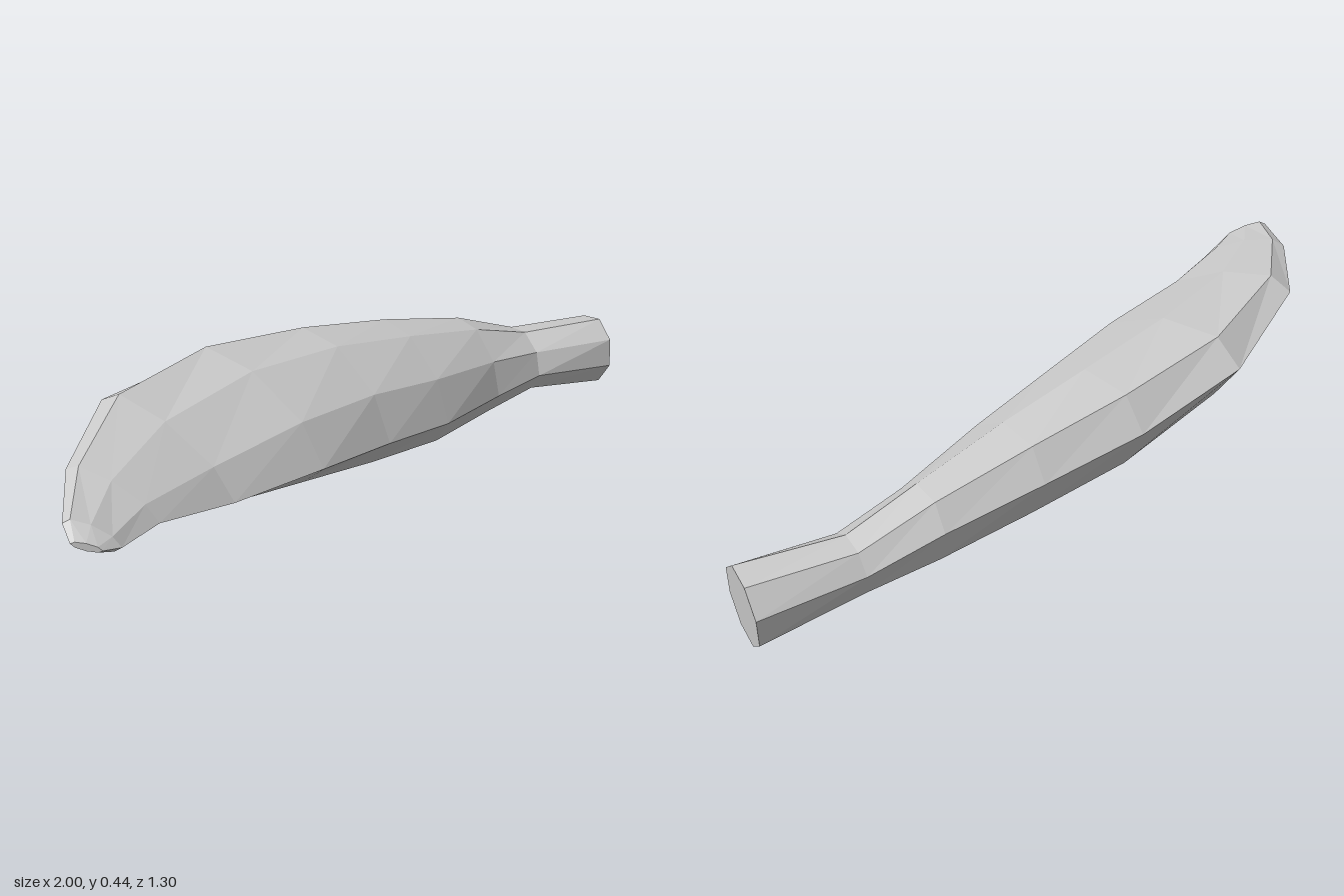
import * as THREE from 'three';

const SIDES = 8;

// Cross-sections from stem to tip: centre, half-axis towards the inner curve, upward half-axis
const SECTIONS = [
  { c: [0.985, 0.11, -0.545], u: [0.012, -0.025, 0.108], v: [0.012, 0.108, 0.022] },
  { c: [0.70, 0.135, -0.495], u: [0.012, -0.025, 0.11], v: [0.01, 0.085, 0] },
  { c: [0.50, 0.165, -0.43], u: [0.02, -0.055, 0.15], v: [0.005, 0.117, 0.005] },
  { c: [0.23, 0.20, -0.305], u: [0.035, -0.065, 0.215], v: [0, 0.14, 0] },
  { c: [-0.045, 0.24, -0.19], u: [0.065, -0.065, 0.25], v: [0, 0.147, 0] },
  { c: [-0.35, 0.29, -0.03], u: [0.11, -0.072, 0.267], v: [0, 0.125, 0] },
  { c: [-0.655, 0.33, 0.205], u: [0.12, -0.08, 0.20], v: [0, 0.08, 0] },
  { c: [-0.85, 0.345, 0.445], u: [0.09, -0.045, 0.095], v: [0, 0.04, 0] },
  { c: [-0.935, 0.335, 0.61], u: [0.062, -0.03, 0.027], v: [0, 0.025, -0.005] },
  { c: [-0.955, 0.322, 0.638], u: [0.035, -0.01, 0.012], v: [0, 0.01, 0] },
];

// Lofts neighbouring cross-sections, optionally closing either end
function loft(sections, capStart, capEnd) {
  const positions = [];
  const index = [];
  for (const { c, u, v } of sections) {
    for (let j = 0; j < SIDES; j++) {
      const a = (j / SIDES) * Math.PI * 2;
      for (let k = 0; k < 3; k++) positions.push(c[k] + Math.cos(a) * u[k] + Math.sin(a) * v[k]);
    }
  }
  for (let i = 0; i < sections.length - 1; i++) {
    for (let j = 0; j < SIDES; j++) {
      const a = i * SIDES + j;
      const b = i * SIDES + ((j + 1) % SIDES);
      index.push(a, b, a + SIDES, b, b + SIDES, a + SIDES);
    }
  }
  const last = (sections.length - 1) * SIDES;
  for (let j = 1; j < SIDES - 1; j++) {
    if (capStart) index.push(0, j + 1, j);
    if (capEnd) index.push(last, last + j, last + j + 1);
  }
  const indexed = new THREE.BufferGeometry();
  indexed.setAttribute('position', new THREE.Float32BufferAttribute(positions, 3));
  indexed.setIndex(index);
  const geometry = indexed.toNonIndexed();
  geometry.computeVertexNormals();
  return geometry;
}

export function createModel() {
  const model = new THREE.Group();
  model.name = 'curvedFruit';
  const material = new THREE.MeshStandardMaterial({ color: 0xcccccc, flatShading: true });

  const addPart = (name, from, to, capStart, capEnd) => {
    const mesh = new THREE.Mesh(loft(SECTIONS.slice(from, to + 1), capStart, capEnd), material);
    mesh.name = name;
    model.add(mesh);
  };

  addPart('stem', 0, 1, true, false);
  addPart('body', 1, 8, false, false);
  addPart('tip', 8, 9, false, true);

  return model;
}
